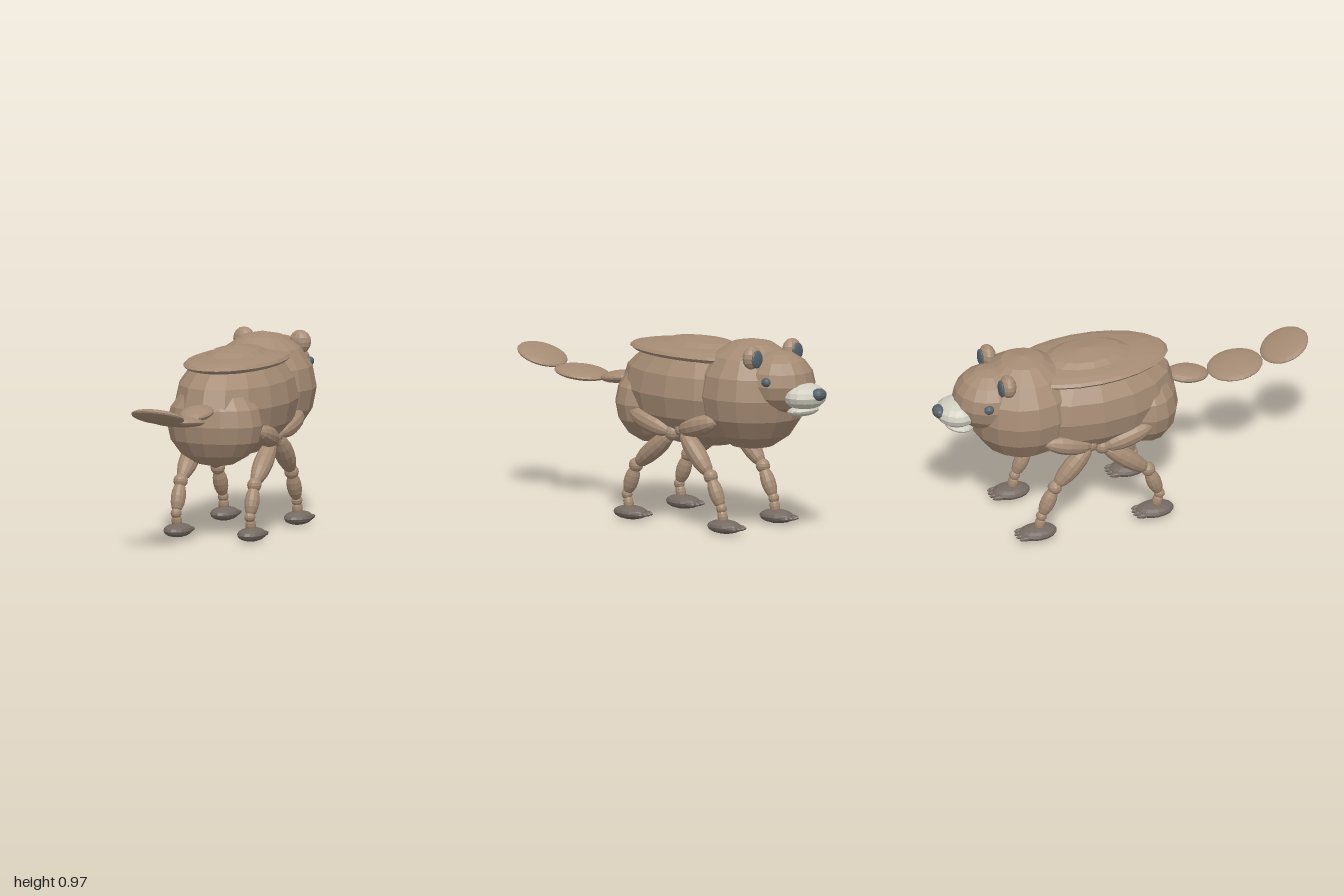
import * as THREE from 'three';

const mat = (name, color) => {
  const m = new THREE.MeshStandardMaterial({ color, flatShading: true });
  m.name = name;
  return m;
};

export function createModel() {
  const model = new THREE.Group();
  model.name = 'animal';
  const fur = mat('brown fur', 0xa58b74);
  const pad = mat('grey brown paw', 0x756a62);
  const cream = mat('pale muzzle', 0xd0cec0);
  const slate = mat('dark slate', 0x56626a);

  // Faceted ellipsoid: centre, radii, tilt about x
  const blob = (name, m, pos, rad, tilt = 0, w = 16, h = 8, parent = model) => {
    const mesh = new THREE.Mesh(new THREE.SphereGeometry(1, w, h).scale(...rad), m);
    mesh.name = name;
    mesh.position.set(...pos);
    mesh.rotation.x = tilt;
    parent.add(mesh);
    return mesh;
  };

  // Long ellipsoid running between two points
  const limb = (name, m, a, b, r, parent) => {
    const A = new THREE.Vector3(...a), B = new THREE.Vector3(...b);
    const dir = B.clone().sub(A);
    const mid = A.add(B).multiplyScalar(0.5);
    const mesh = blob(name, m, mid.toArray(), [r, dir.length() / 2, r], 0, 12, 8, parent);
    mesh.quaternion.setFromUnitVectors(new THREE.Vector3(0, 1, 0), dir.normalize());
  };

  // Body
  blob('torso', fur, [0, 0.67, -0.18], [0.285, 0.28, 0.47]);
  blob('shoulders', fur, [0, 0.692, -0.52], [0.272, 0.283, 0.285]);
  blob('hips', fur, [0, 0.59, 0.11], [0.253, 0.22, 0.18]);
  blob('backPlate', fur, [0, 0.872, -0.18], [0.235, 0.045, 0.43], 0, 24, 10);

  // Tail, rising to the rear
  blob('tailBase', fur, [0, 0.675, 0.36], [0.083, 0.032, 0.112], 0.14, 20, 10);
  blob('tailMiddle', fur, [0, 0.667, 0.615], [0.136, 0.028, 0.143], -0.12, 24, 12);
  blob('tailTip', fur, [0, 0.727, 0.879], [0.136, 0.028, 0.128], -0.36, 24, 12);

  // Head and muzzle
  blob('head', fur, [0, 0.77, -0.7], [0.18, 0.165, 0.187]);
  blob('muzzle', cream, [0, 0.72, -0.87], [0.115, 0.068, 0.11]);
  blob('lowerJaw', cream, [0, 0.645, -0.86], [0.088, 0.028, 0.075], 0.12);
  blob('nose', slate, [0, 0.738, -0.966], [0.045, 0.032, 0.034], 0, 12, 8);

  for (const s of [-1, 1]) {
    blob('eye', slate, [s * 0.162, 0.797, -0.755], [0.022, 0.024, 0.026], 0, 12, 8);
    blob('ear', fur, [s * 0.152, 0.91, -0.652], [0.058, 0.06, 0.042], 0, 14, 8);
    blob('innerEar', slate, [s * 0.154, 0.905, -0.688], [0.04, 0.045, 0.014], 0, 12, 8);

    // Legs: [name, hip end, upper joint, knee, ankle, paw z]
    const legs = [
      ['hindLeg', [0.095, 0.56], [-0.165, 0.478], [0.08, 0.283], [0.14, 0.127], 0.115],
      ['frontLeg', [-0.485, 0.575], [-0.225, 0.5], [-0.418, 0.283], [-0.49, 0.127], -0.51],
    ];
    for (const [name, hip, joint, knee, ankle, pz] of legs) {
      const leg = new THREE.Group();
      leg.name = (s > 0 ? 'left ' : 'right ') + name;
      model.add(leg);
      const at = ([z, y], x = 0.2) => [s * x, y, z];
      const ball = (n, p, r) => blob(n, fur, at(p), [r, r, r], 0, 12, 8, leg);
      limb('thigh', fur, at(hip, 0.222), at(joint, 0.215), 0.054, leg);
      ball('upperJoint', joint, name === 'hindLeg' ? 0.042 : 0.036);
      limb('upperLeg', fur, at(joint), at(knee), 0.05, leg);
      ball('knee', knee, 0.037);
      limb('lowerLeg', fur, at(knee), at(ankle), 0.038, leg);
      ball('ankle', ankle, 0.028);
      limb('pastern', fur, at(ankle), at([pz + 0.005, 0.045]), 0.027, leg);

      // Paw with toes pointing forward
      blob('paw', pad, [s * 0.2, 0.038, pz], [0.069, 0.035, 0.1], 0, 16, 8, leg);
      for (let i = 0; i < 4; i++) {
        const u = i - 1.5;
        blob('toe', pad, [s * 0.2 + u * 0.028, 0.035, pz - 0.086 + Math.abs(u) * 0.008],
          [0.0125, 0.013, 0.038], 0, 8, 6, leg);
      }
    }
  }
  return model;
}
